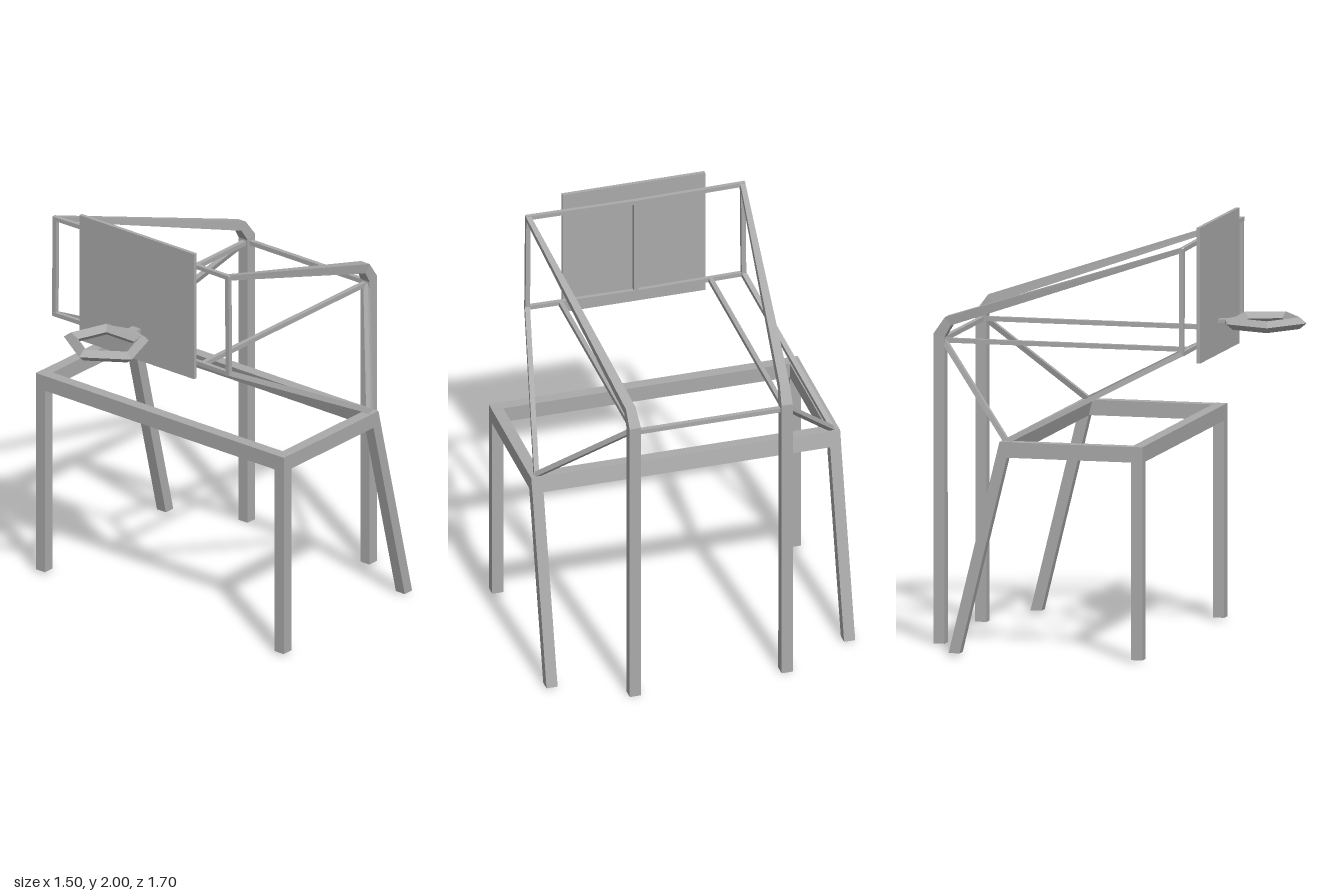
import * as THREE from 'three';

const steel = new THREE.MeshStandardMaterial({ color: 0xaaaaaa });
steel.name = 'grey steel';

// Square tube swept along points; sizes gives the width at each point
function bar(points, sizes) {
  const pts = points.map(p => new THREE.Vector3(...p));
  const rings = pts.map((p, i) => {
    const t = new THREE.Vector3();
    if (i > 0) t.add(p.clone().sub(pts[i - 1]).normalize());
    if (i < pts.length - 1) t.add(pts[i + 1].clone().sub(p).normalize());
    t.normalize();
    const u = Math.abs(t.x) > 0.8 ? new THREE.Vector3(0, 0, 1) : new THREE.Vector3(1, 0, 0);
    u.addScaledVector(t, -u.dot(t)).normalize();
    const v = t.clone().cross(u);
    const h = (Array.isArray(sizes) ? sizes[i] : sizes) / 2;
    return [[1, 1], [-1, 1], [-1, -1], [1, -1]].map(([a, b]) =>
      p.clone().addScaledVector(u, a * h).addScaledVector(v, b * h));
  });
  const verts = [];
  for (let i = 0; i < rings.length - 1; i++) {
    for (let k = 0; k < 4; k++) {
      const n = (k + 1) % 4;
      const [a, b, c, d] = [rings[i][k], rings[i][n], rings[i + 1][n], rings[i + 1][k]];
      for (const q of [a, b, c, a, c, d]) verts.push(q.x, q.y, q.z);
    }
  }
  const g = new THREE.BufferGeometry();
  g.setAttribute('position', new THREE.Float32BufferAttribute(verts, 3));
  g.computeVertexNormals();
  return g;
}

// Leans a geometry along z in proportion to its height
function shearZ(g, k) {
  const p = g.attributes.position;
  for (let i = 0; i < p.count; i++) p.setZ(i, p.getZ(i) + k * p.getY(i));
  g.computeVertexNormals();
  return g;
}

// Square leg, open at the ends, with an optional lean
function openLeg(width, height, lean = 0) {
  const r = width / Math.SQRT2;
  const g = new THREE.CylinderGeometry(r, r, height, 4, 1, true);
  return shearZ(g.rotateY(Math.PI / 4).toNonIndexed(), lean);
}

export function createModel() {
  const model = new THREE.Group();
  model.name = 'hoopStand';
  const add = (name, geometry, x = 0, y = 0, z = 0) => {
    const m = new THREE.Mesh(geometry, steel);
    m.name = name;
    m.position.set(x, y, z);
    model.add(m);
    return m;
  };
  const lean = 0.245;

  // Base frame
  add('frontRail', new THREE.BoxGeometry(1.505, 0.075, 0.055), 0, 0.978, 0.228);
  add('rearRail', shearZ(new THREE.BoxGeometry(1.505, 0.075, 0.054), lean), 0, 0.978, -0.418);

  for (const s of [1, -1]) {
    const side = s > 0 ? 'left' : 'right';
    add(side + 'SideRail', new THREE.BoxGeometry(0.055, 0.073, 0.62), s * 0.725, 0.978, -0.095);
    add(side + 'FrontLeg', openLeg(0.055, 0.95), s * 0.725, 0.485, 0.228);
    add(side + 'RearLeg', openLeg(0.054, 0.95, lean), s * 0.725, 0.485, -0.539);

    // Tall post bending into the tapering upper arm
    add(side + 'PostAndArm', bar(
      [[s * 0.37, 0, -0.825], [s * 0.37, 1.455, -0.825], [s * 0.375, 1.523, -0.78], [s * 0.523, 1.92, 0.39]],
      [0.055, 0.055, 0.048, 0.024]));

    // Rods and braces
    add(side + 'LowerRod', bar([[s * 0.365, 1.428, -0.81], [s * 0.365, 1.428, 0.385]], 0.022));
    add(side + 'FrontBrace', bar([[s * 0.72, 1.015, -0.41], [s * 0.527, 1.43, 0.385]], 0.024));
    add(side + 'RearBrace', bar([[s * 0.72, 1.015, -0.41], [s * 0.37, 1.43, -0.81]], 0.024));
    add(side + 'FrameUpright', bar([[s * 0.527, 1.42, 0.385], [s * 0.523, 1.928, 0.385]], 0.022));
  }
  add('postCrossbar', bar([[-0.36, 1.428, -0.823], [0.36, 1.428, -0.823]], 0.022));

  // Frame behind the board
  for (const [name, y] of [['frameTopBar', 1.92], ['frameBottomBar', 1.43]]) {
    add(name, bar([[-0.535, y, 0.387], [0, y, 0.378], [0.535, y, 0.387]], 0.02));
  }
  add('frameCentreBar', bar([[0, 1.43, 0.38], [0, 1.92, 0.38]], 0.022));
  add('backboard', new THREE.BoxGeometry(0.695, 0.64, 0.018), 0, 1.68, 0.415);

  // Flared bracket carrying the hoop
  const flare = new THREE.Shape([[-0.025, 0.42], [0.025, 0.42], [0.025, 0.458], [0.127, 0.49],
    [-0.127, 0.49], [-0.025, 0.458]].map(p => new THREE.Vector2(...p)));
  const bracket = new THREE.ExtrudeGeometry(flare, { depth: 0.018, bevelEnabled: false });
  add('hoopBracket', bracket.rotateX(Math.PI / 2), 0, 1.525, 0);

  // Five-sided hoop with a diamond section
  const hoop = new THREE.TorusGeometry(0.163, 0.034, 4, 5)
    .rotateZ(Math.PI / 2).rotateX(Math.PI / 2).scale(1.1, 0.82, 1).toNonIndexed();
  hoop.computeVertexNormals();
  add('hoop', hoop, 0, 1.518, 0.648);

  return model;
}
